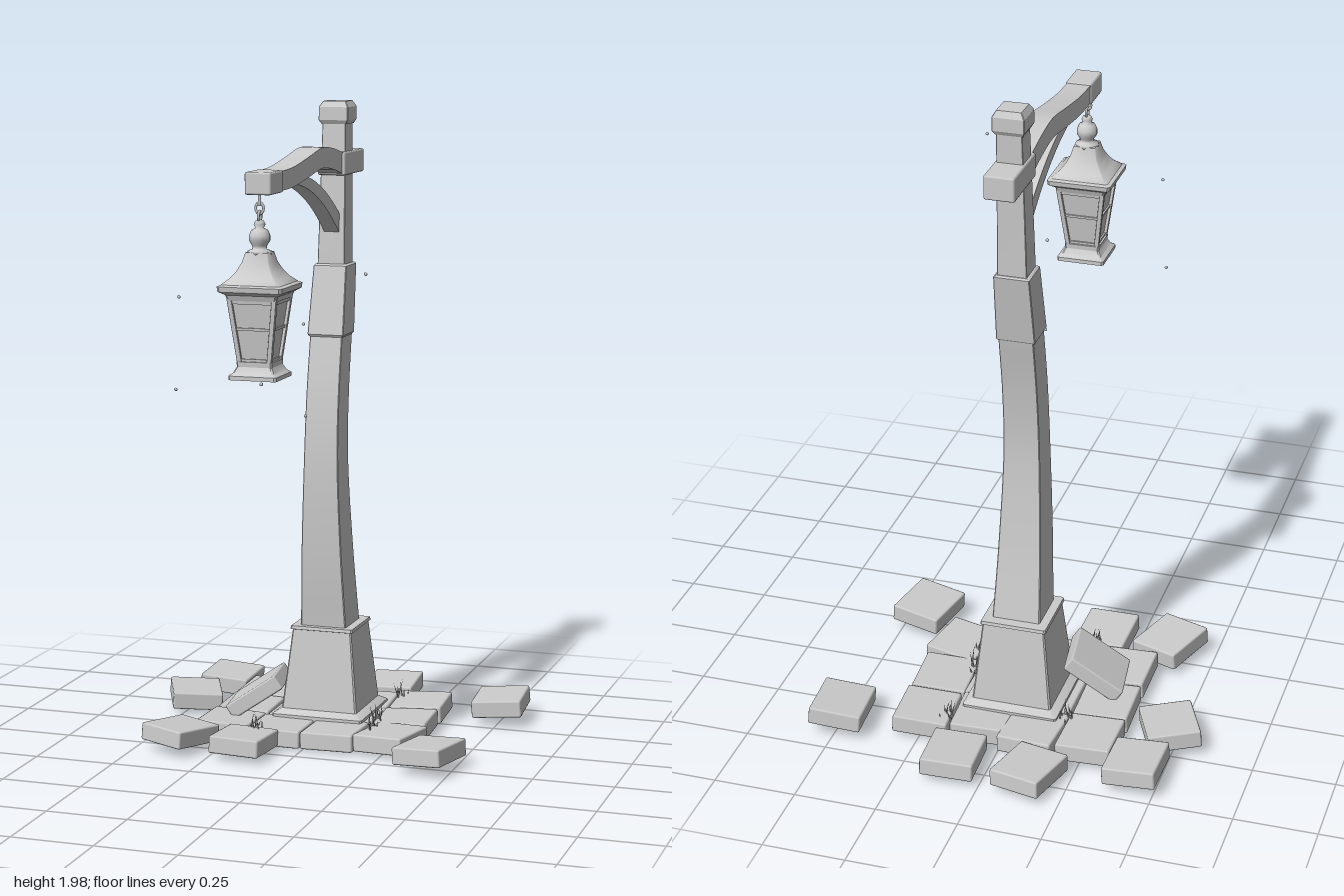
import * as THREE from 'three';
import { toCreasedNormals } from 'three/addons/utils/BufferGeometryUtils.js';
import { RoundedBoxGeometry } from 'three/addons/geometries/RoundedBoxGeometry.js';

const mat = new THREE.MeshStandardMaterial({ color: 0xcccccc });
const leafMat = new THREE.MeshStandardMaterial({ color: 0xcccccc, side: THREE.DoubleSide });

function add(parent, name, geo, x = 0, y = 0, z = 0, material = mat) {
  const m = new THREE.Mesh(geo, material);
  m.name = name;
  m.position.set(x, y, z);
  parent.add(m);
  return m;
}

// Skin a list of equal-length rings (counter-clockwise seen from the far end), with both ends capped
function loft(rings, crease = 0.5) {
  const pos = [];
  const tri = (...pts) => pts.forEach((p) => pos.push(...p));
  const n = rings[0].length;
  for (let k = 0; k + 1 < rings.length; k++) {
    const a = rings[k], b = rings[k + 1];
    for (let i = 0; i < n; i++) {
      const j = (i + 1) % n;
      tri(a[i], a[j], b[j], a[i], b[j], b[i]);
    }
  }
  const first = rings[0], last = rings[rings.length - 1];
  for (let i = 1; i + 1 < n; i++) {
    tri(first[0], first[i + 1], first[i]);
    tri(last[0], last[i], last[i + 1]);
  }
  const g = new THREE.BufferGeometry();
  g.setAttribute('position', new THREE.Float32BufferAttribute(pos, 3));
  return toCreasedNormals(g, crease);
}

// Horizontal square ring with slightly cut corners
function square(y, h, z = 0, x = 0, cut = 0.08) {
  const c = h * (1 - cut);
  return [[h, c], [h, -c], [c, -h], [-c, -h], [-h, -c], [-h, c], [-c, h], [c, h]]
    .map(([px, pz]) => [x + px, y, z + pz]);
}

// Upright rectangular ring for beams running along z
const upright = (z, y, hy, hx) => [[hx, y + hy, z], [-hx, y + hy, z], [-hx, y - hy, z], [hx, y - hy, z]];

// Smoothly interpolate rows of three numbers
const smooth = (rows, n) =>
  new THREE.CatmullRomCurve3(rows.map((r) => new THREE.Vector3(...r))).getPoints(n).map((p) => [p.x, p.y, p.z]);

function buildPost() {
  const g = new THREE.Group();
  g.name = 'post';
  // Rows are height, depth, half width
  const tower = (rows, cut = 0.04) => loft(rows.map(([y, z, h]) => square(y, h, z, 0, cut)));
  add(g, 'pedestal', tower([[0.05, -0.363, 0.147], [0.085, -0.363, 0.147], [0.1, -0.364, 0.123],
    [0.35, -0.365, 0.096], [0.352, -0.365, 0.102], [0.362, -0.365, 0.1]]));
  add(g, 'curvedShaft', tower(smooth([[0.35, -0.36, 0.074], [0.6, -0.328, 0.065], [0.9, -0.312, 0.055],
    [1.1, -0.328, 0.053], [1.3, -0.364, 0.052]], 24)));
  add(g, 'sleeve', tower([[1.278, -0.357, 0.053], [1.285, -0.358, 0.058], [1.495, -0.399, 0.053], [1.5, -0.4, 0.047]]));
  add(g, 'upperPost', tower([[1.48, -0.4, 0.044], [1.6, -0.405, 0.042], [1.95, -0.423, 0.037]]));
  add(g, 'postCap', tower([[1.93, -0.422, 0.04], [1.942, -0.422, 0.047], [1.982, -0.423, 0.047], [2, -0.424, 0.036]]));
  return g;
}

function buildArm() {
  const g = new THREE.Group();
  g.name = 'arm';
  // Rows are depth, height, half thickness
  const beam = (rows, hx) => loft(rows.map(([z, y, h]) => upright(z, y, h, hx)));
  add(g, 'arm', beam(smooth([[-0.5, 1.81, 0.034], [-0.38, 1.81, 0.033], [-0.27, 1.831, 0.032], [-0.165, 1.841, 0.031],
    [-0.02, 1.821, 0.03], [0.12, 1.803, 0.029], [0.24, 1.799, 0.028]], 24), 0.036));
  add(g, 'armTail', new RoundedBoxGeometry(0.09, 0.072, 0.2, 1, 0.006), 0, 1.81, -0.456);
  add(g, 'armTip', new RoundedBoxGeometry(0.08, 0.065, 0.115, 1, 0.006), 0, 1.799, 0.274);
  add(g, 'brace', beam(smooth([[-0.4, 1.6, 0.03], [-0.34, 1.645, 0.029], [-0.22, 1.714, 0.024],
    [-0.08, 1.767, 0.019], [0.08, 1.797, 0.012]], 14), 0.024));
  return g;
}

function buildLantern() {
  const g = new THREE.Group();
  g.name = 'lantern';
  g.position.z = 0.312;
  const tower = (rows, crease) => loft(rows.map(([y, h]) => square(y, h)), crease);

  // Hook and chain links
  add(g, 'hook', new THREE.CylinderGeometry(0.005, 0.005, 0.04, 8), 0, 1.755, 0);
  [1.728, 1.704].forEach((y, i) => {
    const link = add(g, 'chainLink', new THREE.TorusGeometry(0.012, 0.004, 6, 14), 0, y, 0);
    link.rotation.y = i * Math.PI / 2;
    link.scale.y = 1.25;
  });

  // Turned finial
  const profile = [[0, 1.697], [0.012, 1.692], [0.017, 1.682], [0.012, 1.672], [0.024, 1.666], [0.031, 1.65],
    [0.031, 1.636], [0.022, 1.622], [0.02, 1.612], [0.035, 1.606], [0.035, 1.596], [0, 1.59]];
  add(g, 'finial', new THREE.LatheGeometry(profile.reverse().map((p) => new THREE.Vector2(...p)), 16));

  // Bell roof, eaves and foot
  add(g, 'roof', tower([[1.51, 0.09], [1.515, 0.088], [1.53, 0.07], [1.55, 0.054], [1.575, 0.041], [1.603, 0.033]], 0.8));
  add(g, 'eaves', tower([[1.468, 0.074], [1.484, 0.08], [1.494, 0.097], [1.509, 0.099], [1.514, 0.088]]));
  add(g, 'foot', tower([[1.238, 0.073], [1.25, 0.073], [1.258, 0.062], [1.275, 0.053], [1.29, 0.054]]));

  // Tapered glass with corner bars and rails
  const half = (y) => 0.05 + (y - 1.28) * 0.125;
  add(g, 'glass', tower([[1.28, half(1.28) - 0.008], [1.475, half(1.475) - 0.008]]));
  for (const sx of [-1, 1]) for (const sz of [-1, 1]) {
    const rings = [1.28, 1.475].map((y) => square(y, 0.007, sz * (half(y) - 0.006), sx * (half(y) - 0.006)));
    add(g, 'cornerBar', loft(rings));
  }
  for (const [y, t] of [[1.29, 0.008], [1.385, 0.004], [1.466, 0.008]]) {
    add(g, 'rail', tower([[y - t, half(y - t) - 0.003], [y + t, half(y + t) - 0.003]]));
  }
  return g;
}

function buildPaving() {
  const g = new THREE.Group();
  g.name = 'paving';
  // x, z, turn: four columns of close-set slabs, then loose outer ones
  const slabs = [
    [-0.263, -0.54, 0], [-0.263, -0.352, 0.03], [-0.263, -0.157, 0], [-0.088, -0.545, -0.06], [-0.088, -0.35, 0],
    [-0.092, -0.15, 0.02], [0.077, -0.515, 0.06], [0.085, -0.34, 0], [0.08, -0.155, 0],
    [0.25, -0.54, 0.06], [0.255, -0.345, 0.06], [0.26, -0.155, -0.2],
    [-0.43, -0.64, 0], [-0.137, -0.75, -0.24], [0.1, -0.737, 0.06], [0.497, -0.607, 0.07],
    [-0.478, -0.422, 0.42], [-0.362, 0.03, -0.38], [-0.155, 0.03, -0.03], [0.43, 0.005, -0.2],
  ];
  slabs.forEach(([x, z, turn], i) => {
    const dx = x, dz = z + 0.33, r2 = dx * dx + dz * dz;
    const slab = add(g, 'slab', new RoundedBoxGeometry(i < 12 ? 0.168 : 0.16, 0.055, 0.184, 1, 0.006),
      x, 0.046 + 0.1 * r2, z);
    // The ground dishes gently, so outer slabs lean inward
    slab.rotation.order = 'ZXY';
    slab.rotation.set(-0.14 * dz, turn, 0.16 * dx);
  });
  // One slab leans against the pedestal
  const leaning = add(g, 'leaningSlab', new RoundedBoxGeometry(0.19, 0.05, 0.184, 1, 0.006), -0.207, 0.142, -0.268);
  leaning.rotation.order = 'YZX';
  leaning.rotation.set(0, 0.14, 0.6);
  return g;
}

function buildGrass() {
  const g = new THREE.Group();
  g.name = 'grass';
  let seed = 7;
  const rnd = () => (seed = (seed * 16807) % 2147483647) / 2147483647;
  for (const [x, z] of [[0.175, -0.57], [0.18, -0.3], [0.185, -0.18], [-0.14, -0.06], [-0.172, -0.47]]) {
    for (let i = 0; i < 9; i++) {
      const h = 0.04 + rnd() * 0.035;
      const blade = new THREE.ConeGeometry(0.004, h, 3, 1, true);
      blade.translate(0, h / 2, 0);
      const m = add(g, 'blade', blade, x + (rnd() - 0.5) * 0.04, 0.062, z + (rnd() - 0.5) * 0.06, leafMat);
      m.rotation.set((rnd() - 0.5) * 0.7, rnd() * 6, (rnd() - 0.5) * 0.7);
    }
  }
  return g;
}

export function createModel() {
  const model = new THREE.Group();
  model.add(buildPost(), buildArm(), buildLantern(), buildPaving(), buildGrass());
  // Drifting sparks around the lantern
  for (const [x, y, z] of [[0.345, 1.56, 0.4], [0.19, 1.305, 0.845], [-0.24, 1.2, 0.365], [-0.215, 1.475, 0.4],
    [0.055, 1.09, 0.06], [0.06, 1.37, 0.095]]) {
    add(model, 'spark', new THREE.IcosahedronGeometry(0.005, 1), x, y, z);
  }
  return model;
}
